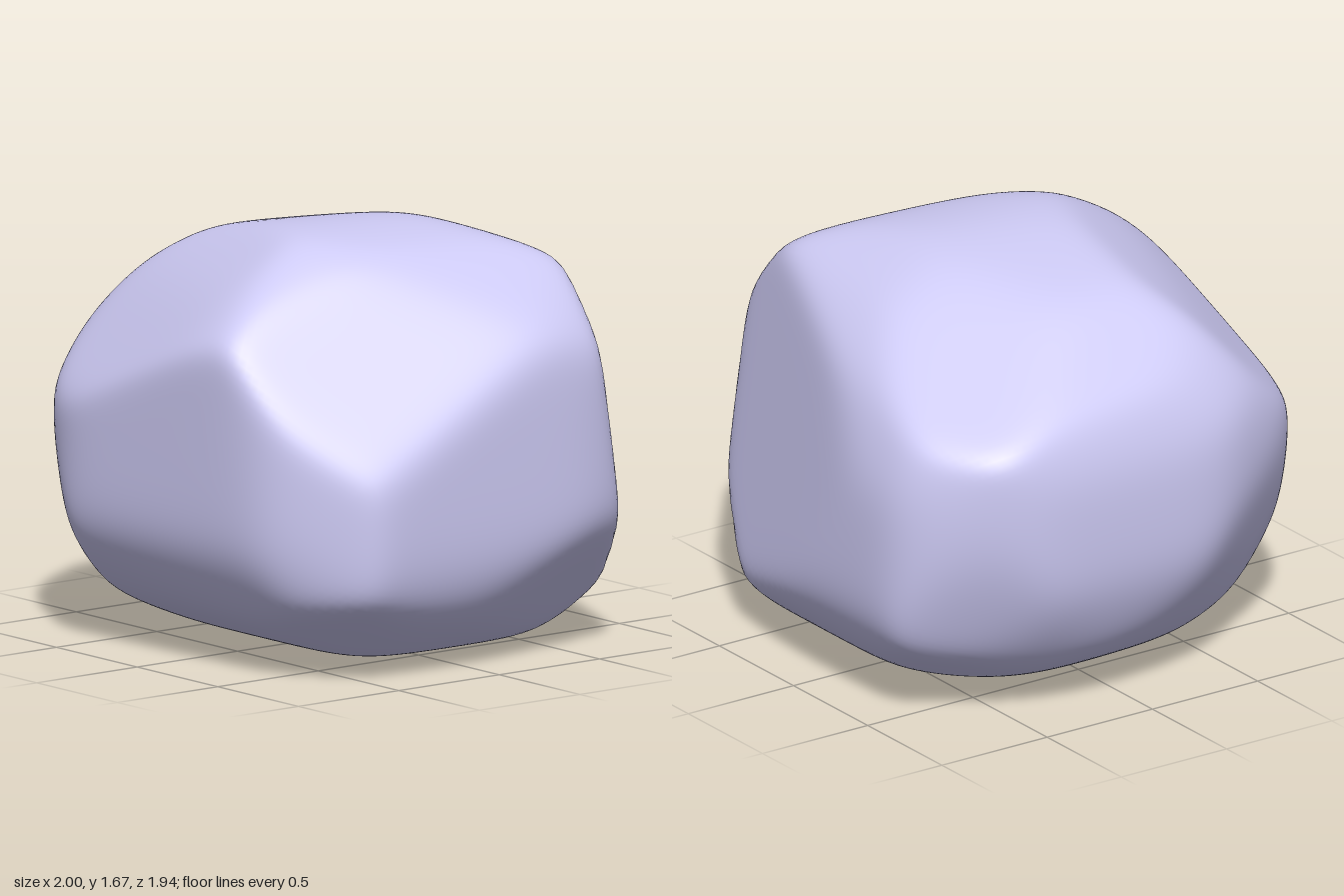
import * as THREE from 'three';
import { mergeVertices } from 'three/addons/utils/BufferGeometryUtils.js';

const SHARPNESS = 36;
const MIDDLE = 0.835;

// Six girths around the boulder: two axes, then the reach every 22.5 degrees from the first axis
const GIRTHS = [
  [[1, 0, 0], [0, 1, 0],
    [0.995, 1.05, 1.04, 0.95, 0.835, 0.87, 0.97, 1, 1, 1.03, 1.02, 0.93, 0.835, 0.965, 1.065, 1.07]],
  [[0, 0, 1], [0, 1, 0],
    [0.97, 1.04, 0.99, 0.945, 0.835, 0.88, 0.92, 0.95, 0.97, 1.045, 1.035, 0.965, 0.835, 0.885, 0.965, 1.02]],
  [[1, 0, 0], [0, 0, 1],
    [0.995, 1.115, 1.11, 1.055, 0.97, 1.075, 1.1, 1.055, 1, 1.11, 1.145, 1.108, 0.97, 1.01, 1.145, 1.107]],
  [[0.707, 0, -0.707], [-0.354, 0.866, -0.354],
    [1.15, 1.135, 1.045, 0.93, 0.847, 0.9, 1.01, 1.08, 1.1, 1.12, 1.06, 0.985, 0.997, 1.03, 1.06, 1.17]],
  [[-0.707, 0, 0.707], [0.354, 0.866, 0.354],
    [1.1, 1.11, 1.04, 0.97, 0.958, 0.95, 1.096, 1.16, 1.15, 1.228, 1.14, 1.025, 0.997, 1, 1.02, 1.035]],
  [[-0.707, 0, -0.707], [0.354, 0.866, -0.354],
    [1.145, 1.13, 1.05, 0.93, 1.036, 1.06, 0.97, 1.06, 1.11, 1.137, 1.093, 0.965, 0.997, 0.985, 1.065, 1.112]],
];

// Broad flat cuts: [normal x, y, z, reach]
const CUTS = [
  [0.77, 0.552, 0.32, 0.925],    // upper front, +x
  [-0.27, 0.68, 0.68, 0.89],     // upper front, -x
  [-0.2, 0.85, 0.48, 0.865],     // front of the top
  [0.06, -0.03, 1, 0.95],        // front
  [0.05, -0.45, 0.89, 0.985],    // lower front
  [0.27, 0.17, -0.95, 0.855],    // leaning back
  [-0.2, 0.98, -0.05, 0.82],     // top
  [0.2, 0.98, 0, 0.872],         // top, +x
];

function makeFacets() {
  const facets = [];
  const add = (normal, reach) => facets.push({ normal: normal.normalize(), reach, distance: reach });
  for (const [a, b, reaches] of GIRTHS) {
    reaches.forEach((reach, i) => {
      const t = (i * Math.PI) / 8;
      add(new THREE.Vector3(...a).multiplyScalar(Math.cos(t))
        .addScaledVector(new THREE.Vector3(...b), Math.sin(t)), reach);
    });
  }
  for (const [x, y, z, reach] of CUTS) add(new THREE.Vector3(x, y, z), reach);
  return facets;
}

// Ball whose radius follows the softly blended facets
function makeRock(facets, detail) {
  let geometry = new THREE.IcosahedronGeometry(1, detail);
  geometry.deleteAttribute('normal');
  geometry.deleteAttribute('uv');
  geometry = mergeVertices(geometry, 1e-5);
  const pos = geometry.attributes.position;
  const v = new THREE.Vector3();
  for (let i = 0; i < pos.count; i++) {
    v.fromBufferAttribute(pos, i).normalize();
    let sum = 0;
    for (const f of facets) sum += Math.pow(Math.max(0, f.normal.dot(v)) / f.distance, SHARPNESS);
    v.multiplyScalar(Math.pow(sum, -1 / SHARPNESS));
    pos.setXYZ(i, v.x, v.y, v.z);
  }
  return geometry;
}

// Blending pulls the facets inward, so move each one until the rock has its reach
function settle(facets) {
  const v = new THREE.Vector3();
  for (let pass = 0; pass < 22; pass++) {
    const pos = makeRock(facets, 16).attributes.position;
    for (const f of facets) {
      let reached = 0;
      for (let i = 0; i < pos.count; i++) {
        reached = Math.max(reached, f.normal.dot(v.fromBufferAttribute(pos, i)));
      }
      f.distance *= f.reach / reached;
    }
  }
}

export function createModel() {
  const group = new THREE.Group();
  group.name = 'boulder';

  const facets = makeFacets();
  settle(facets);
  const geometry = makeRock(facets, 40);
  geometry.translate(0, MIDDLE, 0);
  geometry.computeVertexNormals();

  const rock = new THREE.Mesh(geometry, new THREE.MeshStandardMaterial({ color: 0xcdcaf4 }));
  rock.name = 'rock';
  group.add(rock);
  return group;
}
